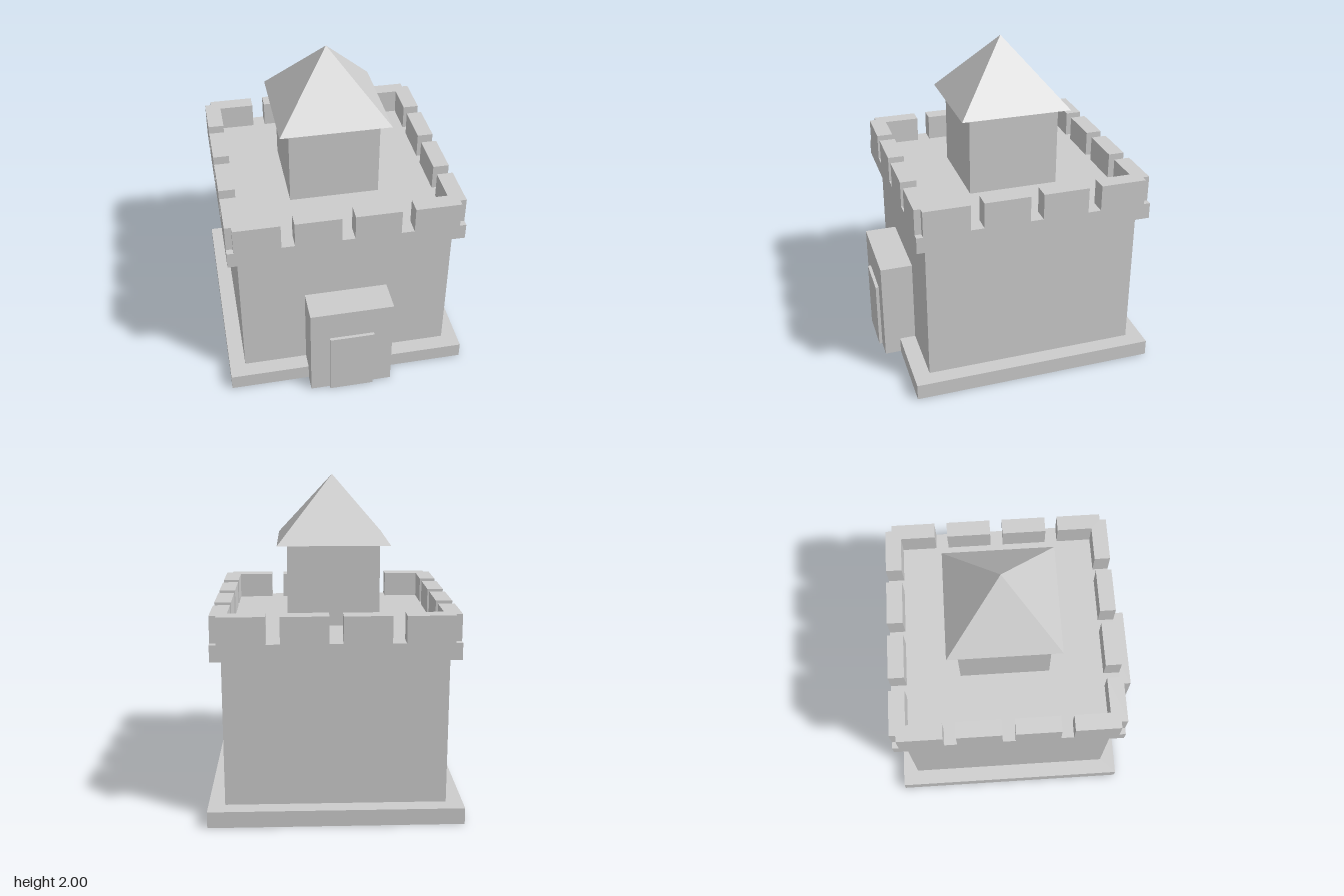
import * as THREE from 'three';

export function createModel() {
  const model = new THREE.Group();
  model.name = 'castle';
  const stone = new THREE.MeshStandardMaterial({ color: 0xcccccc });
  stone.name = 'stone';

  const add = (parent, name, geometry, x = 0, y = 0, z = 0) => {
    const mesh = new THREE.Mesh(geometry, stone);
    mesh.name = name;
    mesh.position.set(x, y, z);
    parent.add(mesh);
    return mesh;
  };
  // Box standing on height y0
  const block = (parent, name, w, y0, y1, d, x = 0, z = 0) =>
    add(parent, name, new THREE.BoxGeometry(w, y1 - y0, d), x, (y0 + y1) / 2, z);

  // The square castle is set back slightly to make room for the gatehouse
  const castle = new THREE.Group();
  castle.name = 'tower';
  castle.position.z = -0.06;
  model.add(castle);

  block(castle, 'plinth', 1.52, 0, 0.1, 1.52);
  block(castle, 'walls', 1.32, 0.1, 1.0, 1.32);
  block(castle, 'roofDeck', 1.44, 1.0, 1.1, 1.44);

  // Battlements: two straight merlons and one notched corner merlon per side
  const cornerShape = new THREE.Shape([
    [0.4, 0.62], [0.62, 0.62], [0.62, 0.4], [0.72, 0.4],
    [0.72, 0.68], [0.68, 0.68], [0.68, 0.72], [0.4, 0.72],
  ].map(([x, y]) => new THREE.Vector2(x, y)));
  const cornerGeometry = new THREE.ExtrudeGeometry(cornerShape, { depth: 0.16, bevelEnabled: false });
  cornerGeometry.rotateX(-Math.PI / 2);
  for (let i = 0; i < 4; i++) {
    const side = new THREE.Group();
    side.name = 'battlementSide';
    side.rotation.y = (i * Math.PI) / 2;
    castle.add(side);
    for (const x of [-0.18, 0.18]) block(side, 'merlon', 0.28, 1.1, 1.26, 0.1, x, 0.67);
    add(side, 'cornerMerlon', cornerGeometry, 0, 1.1, 0);
  }

  // Keep with a pyramid roof
  block(castle, 'keep', 0.56, 1.1, 1.6, 0.56);
  const roof = new THREE.ConeGeometry(0.34 * Math.SQRT2, 0.4, 4, 1, false, Math.PI / 4).toNonIndexed();
  roof.computeVertexNormals();
  add(castle, 'keepRoof', roof, 0, 1.8, 0);

  // Gatehouse and door
  block(model, 'gatehouse', 0.52, 0, 0.64, 0.2, 0, 0.7);
  block(model, 'door', 0.28, 0, 0.44, 0.02, 0, 0.81);

  return model;
}
